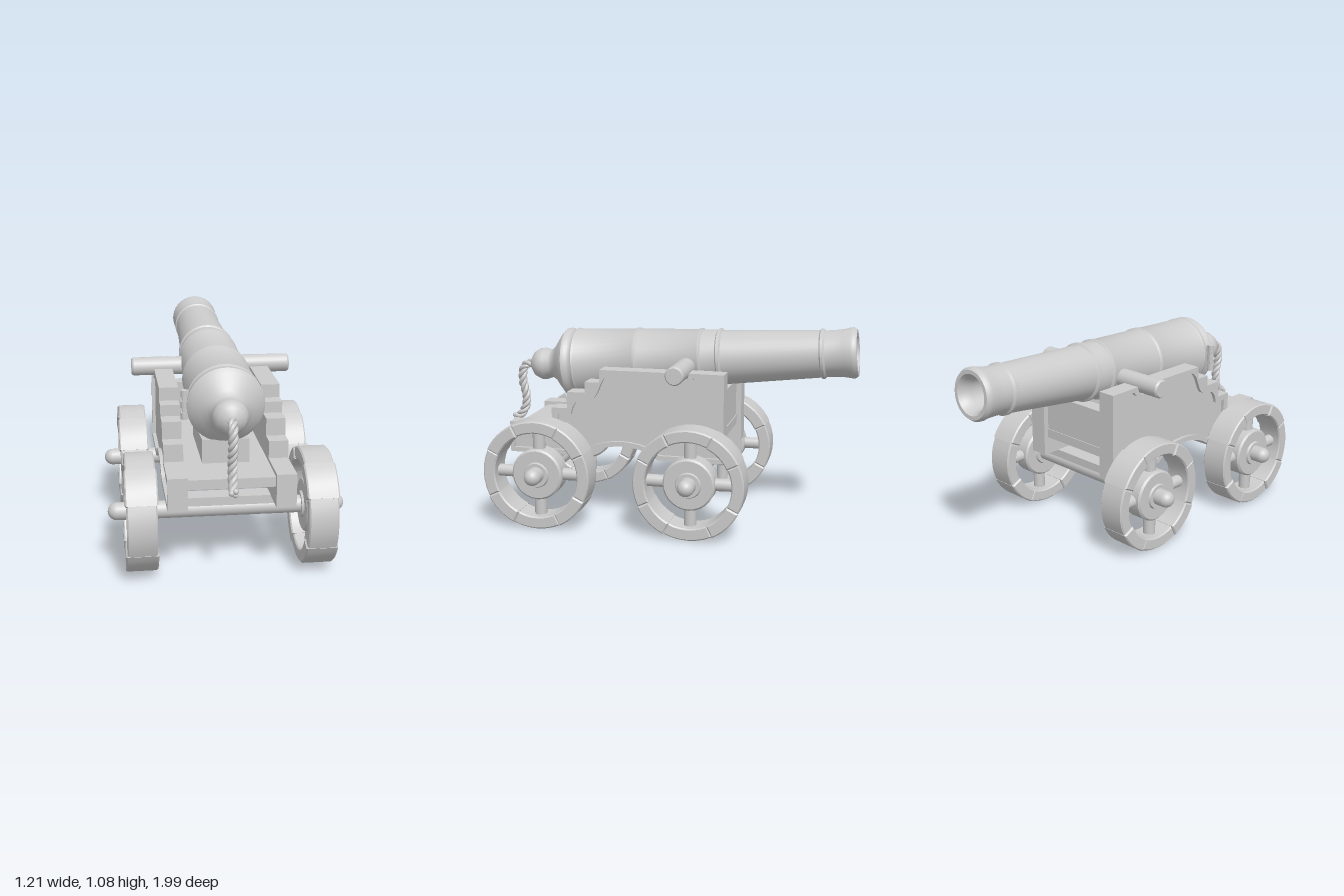
import * as THREE from 'three';
import { toCreasedNormals } from 'three/addons/utils/BufferGeometryUtils.js';

const material = new THREE.MeshStandardMaterial({ color: 0xcccccc });
const V = (x, y, z) => new THREE.Vector3(x, y, z);

function add(parent, name, geometry, x = 0, y = 0, z = 0) {
  const mesh = new THREE.Mesh(geometry, material);
  mesh.name = name;
  mesh.position.set(x, y, z);
  parent.add(mesh);
  return mesh;
}

// Extrude a side profile drawn in (z, y) to a board of the given width, centred on x
function sideExtrude(shape, width, options = {}) {
  const bevel = options.bevel || 0;
  const g = new THREE.ExtrudeGeometry(shape, {
    depth: width - 2 * bevel, curveSegments: options.segments || 10, bevelEnabled: bevel > 0,
    bevelThickness: bevel, bevelSize: bevel, bevelOffset: -bevel, bevelSegments: 1,
  });
  g.translate(0, 0, bevel - width / 2).rotateY(-Math.PI / 2);
  return toCreasedNormals(g, 0.5);
}

// Gun barrel: outer profile from breech knob to muzzle, then back down the bore
function barrel() {
  const profile = [
    [0, -0.865], [0.035, -0.86], [0.068, -0.84], [0.088, -0.805], [0.09, -0.775], [0.08, -0.74],
    [0.084, -0.725], [0.105, -0.70], [0.14, -0.675], [0.178, -0.645], [0.188, -0.635],
    [0.197, -0.625], [0.197, -0.605], [0.19, -0.595], [0.19, -0.575], [0.196, -0.565], [0.19, -0.55],
    [0.178, -0.23], [0.183, -0.222], [0.183, -0.208], [0.175, -0.2],
    [0.161, 0.13], [0.166, 0.137], [0.166, 0.148], [0.156, 0.155],
    [0.152, 0.235], [0.16, 0.242], [0.16, 0.256], [0.148, 0.265],
    [0.127, 0.79], [0.135, 0.797], [0.135, 0.81], [0.125, 0.82],
    [0.125, 0.87], [0.129, 0.92], [0.136, 0.955], [0.136, 0.972], [0.125, 0.988],
    [0.105, 0.988], [0.088, 0.965], [0.08, 0.92], [0.08, 0.6], [0, 0.6],
  ];
  const g = new THREE.LatheGeometry(profile.map(([r, t]) => new THREE.Vector2(r, t)), 40);
  return toCreasedNormals(g, 0.7);
}

// Stepped carriage side with an arched underside and a trunnion notch
function cheekShape() {
  const s = new THREE.Shape();
  s.moveTo(0.88, 0.375);
  for (const [z, y] of [[0.88, 0.545], [0.635, 0.545], [0.635, 0.636], [0.545, 0.636], [0.545, 0.727],
    [0.443, 0.727], [0.443, 0.786], [0.36, 0.786], [0.36, 0.856], [-0.028, 0.856]]) s.lineTo(z, y);
  s.absarc(-0.08, 0.858, 0.052, 0, Math.PI, true);
  s.lineTo(-0.32, 0.856);
  s.lineTo(-0.32, 0.375);
  s.lineTo(0.04, 0.375);
  s.bezierCurveTo(0.13, 0.46, 0.34, 0.46, 0.45, 0.375);
  s.closePath();
  return s;
}

// Curved outline of the sunken panel on the outer face
function panelPath() {
  const p = new THREE.Path();
  p.moveTo(0.86, 0.4);
  p.lineTo(0.86, 0.522);
  p.lineTo(0.6, 0.522);
  p.lineTo(0.6, 0.604);
  p.lineTo(0.525, 0.604);
  p.bezierCurveTo(0.51, 0.69, 0.47, 0.685, 0.41, 0.69);
  p.bezierCurveTo(0.35, 0.71, 0.37, 0.834, 0.28, 0.834);
  p.lineTo(0.0, 0.834);
  p.bezierCurveTo(-0.02, 0.78, -0.14, 0.78, -0.16, 0.834);
  p.lineTo(-0.295, 0.834);
  p.lineTo(-0.295, 0.4);
  p.lineTo(0.03, 0.4);
  p.bezierCurveTo(0.13, 0.487, 0.35, 0.487, 0.46, 0.4);
  p.closePath();
  return p;
}

// Wheel built around its own centre, axle along x
function wheel() {
  const g = new THREE.Group();
  g.name = 'wheel';
  for (let i = 0; i < 8; i++) {
    const wide = i % 2 === 1;
    const half = (wide ? 19 : 26) * Math.PI / 180, mid = i * Math.PI / 4;
    const arc = new THREE.Shape();
    arc.absarc(0, 0, wide ? 0.3 : 0.298, mid - half, mid + half, false);
    arc.absarc(0, 0, wide ? 0.23 : 0.232, mid + half, mid - half, true);
    arc.closePath();
    add(g, 'rimSection', sideExtrude(arc, wide ? 0.16 : 0.148, { bevel: 0.007, segments: 3 }));
  }
  for (let i = 0; i < 4; i++) {
    const spoke = new THREE.CylinderGeometry(0.033, 0.033, 0.14, 14);
    spoke.translate(0, 0.18, 0).rotateX(i * Math.PI / 2);
    add(g, 'spoke', spoke);
  }
  const hub = [[0, -0.066], [0.065, -0.066], [0.07, -0.055], [0.13, -0.055], [0.14, -0.045],
    [0.14, 0.045], [0.13, 0.055], [0.07, 0.055], [0.065, 0.066], [0, 0.066]];
  const hubGeo = new THREE.LatheGeometry(hub.map(([r, t]) => new THREE.Vector2(r, t)), 28);
  add(g, 'hub', toCreasedNormals(hubGeo.rotateZ(-Math.PI / 2), 0.5));
  return g;
}

// Twisted rope: three strands winding round a hanging curve
function rope() {
  const g = new THREE.Group();
  g.name = 'rope';
  const path = new THREE.CatmullRomCurve3([V(0, 0.815, 0.84), V(0, 0.815, 0.885), V(-0.003, 0.785, 0.918),
    V(-0.005, 0.71, 0.925), V(-0.005, 0.62, 0.907), V(-0.005, 0.55, 0.918), V(-0.005, 0.505, 0.95), V(-0.005, 0.495, 0.975)]);
  const side = V(1, 0, 0);
  for (let k = 0; k < 3; k++) {
    const points = [];
    for (let i = 0; i <= 70; i++) {
      const u = i / 70, a = u * Math.PI * 7 + k * Math.PI * 2 / 3;
      const up = path.getTangentAt(u).cross(side).normalize();
      points.push(path.getPointAt(u).addScaledVector(side, 0.013 * Math.cos(a)).addScaledVector(up, 0.013 * Math.sin(a)));
    }
    add(g, 'ropeStrand', new THREE.TubeGeometry(new THREE.CatmullRomCurve3(points), 110, 0.0125, 8));
    const end = points[70];
    add(g, 'ropeEnd', new THREE.SphereGeometry(0.014, 10, 8), end.x, end.y, end.z);
  }
  return g;
}

export function createModel() {
  const model = new THREE.Group();
  model.name = 'cannon';

  // Barrel, tilted slightly up toward the muzzle
  add(model, 'barrel', barrel(), 0, 0.876, 0).rotation.x = -Math.PI / 2 + 0.075;

  // Trunnion with chamfered ends
  const pin = [[0, -0.44], [0.043, -0.44], [0.05, -0.43], [0.05, 0.43], [0.043, 0.44], [0, 0.44]];
  const pinGeo = new THREE.LatheGeometry(pin.map(([r, t]) => new THREE.Vector2(r, t)), 24);
  add(model, 'trunnion', toCreasedNormals(pinGeo.rotateZ(-Math.PI / 2), 0.5), 0, 0.862, -0.08);

  // Small bracket on the side of the breech
  add(model, 'breechBracket', new THREE.BoxGeometry(0.03, 0.145, 0.03), -0.2, 0.833, 0.6);
  for (const y of [0.775, 0.833, 0.89])
    add(model, 'bracketKnuckle', new THREE.CylinderGeometry(0.018, 0.018, 0.035, 12), -0.207, y, 0.6);

  // Carriage sides: solid core plus a raised outer border
  const core = sideExtrude(cheekShape(), 0.08);
  const bordered = cheekShape();
  bordered.holes.push(panelPath());
  const border = sideExtrude(bordered, 0.02);
  for (const s of [-1, 1]) {
    add(model, 'carriageSide', core, s * 0.257, 0, 0);
    add(model, 'carriageBorder', border, s * 0.307, 0, 0);
  }

  // Floor, rear transom and elevating wedge between the sides
  add(model, 'floor', new THREE.BoxGeometry(0.436, 0.05, 1.15), 0, 0.5, 0.28);
  add(model, 'transom', new THREE.BoxGeometry(0.436, 0.21, 0.08), 0, 0.625, -0.25);
  const wedge = new THREE.Shape([[0.62, 0.525], [0.62, 0.65], [0.15, 0.6], [0.15, 0.525]].map(([z, y]) => new THREE.Vector2(z, y)));
  add(model, 'elevatingWedge', sideExtrude(wedge, 0.24));

  // Axles with their bolsters and wheels
  for (const z of [0.665, -0.17]) {
    add(model, 'axle', new THREE.CapsuleGeometry(0.045, 1.115, 8, 20).rotateZ(Math.PI / 2), 0, 0.305, z);
    add(model, 'bolster', new THREE.BoxGeometry(0.6, 0.045, 0.1), 0, 0.355, z);
    for (const s of [-1, 1]) {
      const w = wheel();
      w.position.set(s * 0.442, 0.302, z);
      model.add(w);
    }
  }

  model.add(rope());
  return model;
}
